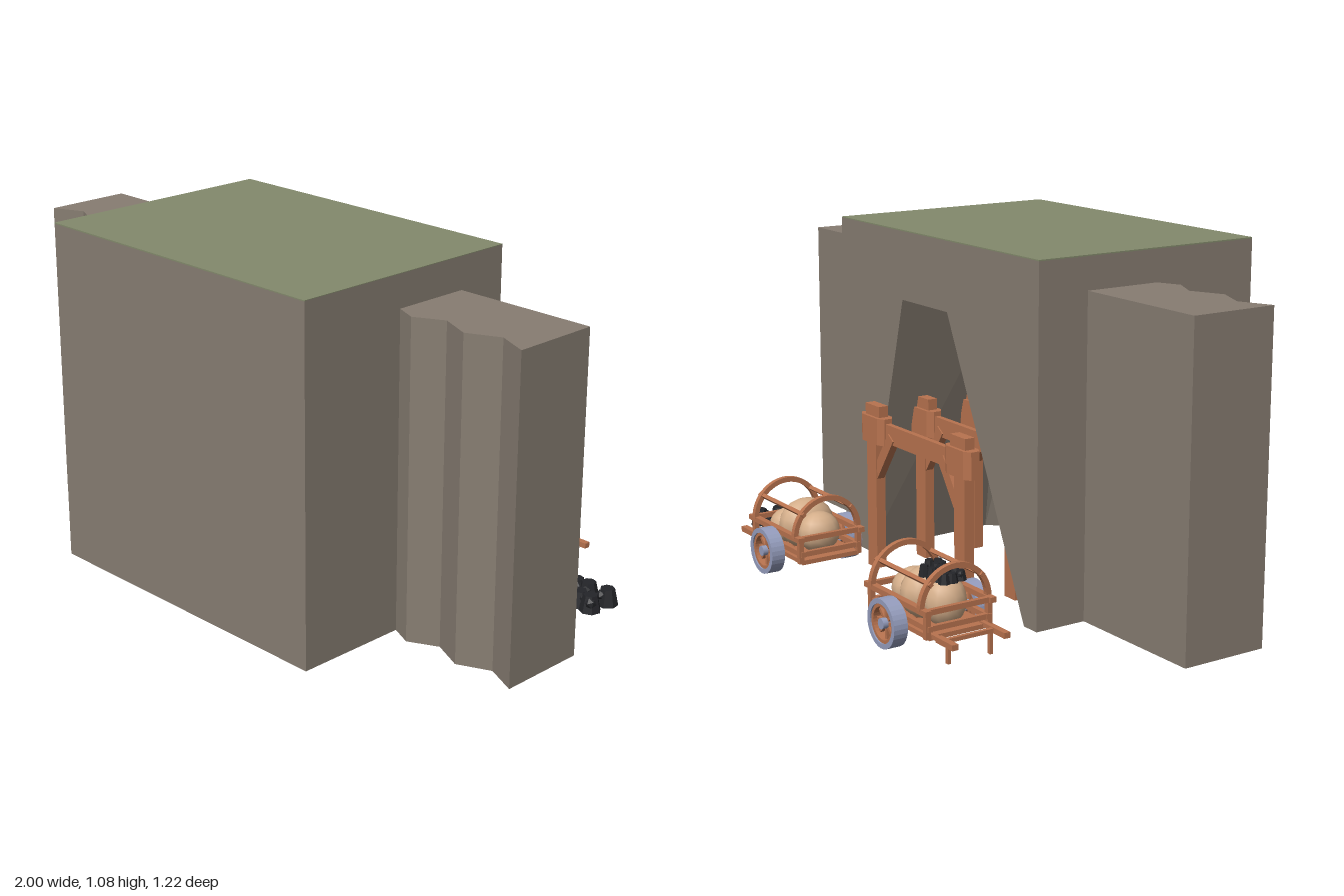
import * as THREE from 'three';

const mat = (name, color, extra = {}) => new THREE.MeshStandardMaterial({ name, color, ...extra });

export function createModel() {
  const root = new THREE.Group();
  const stone = mat('stone', 0x877d72, { side: THREE.DoubleSide, flatShading: true });
  const grass = mat('grass', 0x838a6c);
  const wood = mat('wood', 0xb8734f);
  const metal = mat('wheelMetal', 0x959dbd);
  const sack = mat('sackCloth', 0xd4ae8a);
  const coal = mat('coal', 0x242529, { flatShading: true });

  const add = (parent, name, geo, material, x = 0, y = 0, z = 0) => {
    const m = new THREE.Mesh(geo, material);
    m.name = name;
    m.position.set(x, y, z);
    parent.add(m);
    return m;
  };
  const box = (parent, name, w, h, d, x, y, z, material = wood) =>
    add(parent, name, new THREE.BoxGeometry(w, h, d), material, x, y, z);
  const group = (name, x = 0, y = 0, z = 0) => {
    const g = new THREE.Group();
    g.name = name;
    g.position.set(x, y, z);
    root.add(g);
    return g;
  };
  const shape = (pts) => new THREE.Shape(pts.map(([x, y]) => new THREE.Vector2(x, y)));

  // Main rock with a cave that narrows upward, open at the back and underneath
  const X = 0.54, H = 1.08, ZB = -0.175, ZF = 0.605, CAVE_H = 0.865;
  const caveFloor = [[0.4, ZB], [0.42, 0.3], [0.25, 0.5], [-0.25, 0.53], [-0.5, 0.37], [-0.478, ZB]];
  const caveTop = [[0.175, ZB], [0.17, 0.2], [0.12, 0.32], [-0.02, 0.34], [-0.06, 0.2], [-0.075, ZB]];
  const rock = group('rock');
  add(rock, 'rockFront', new THREE.PlaneGeometry(2 * X, H), stone, 0, H / 2, ZF);
  for (const s of [1, -1]) {
    const side = add(rock, 'rockSide', new THREE.PlaneGeometry(ZF - ZB, H), stone, s * X, H / 2, (ZF + ZB) / 2);
    side.rotation.y = s * Math.PI / 2;
  }
  const back = add(rock, 'rockBack', new THREE.ShapeGeometry(shape([
    [X, 0], [X, H], [-X, H], [-X, 0], [-0.478, 0], [-0.075, CAVE_H], [0.175, CAVE_H], [0.4, 0]
  ].map(([x, y]) => [-x, y]))), stone, 0, 0, ZB);
  back.rotation.y = Math.PI;
  const base = add(rock, 'rockBase', new THREE.ShapeGeometry(
    shape([[X, ZB], [X, ZF], [-X, ZF], [-X, ZB], ...[...caveFloor].reverse()])), stone);
  base.rotation.x = Math.PI / 2;
  const ceiling = add(rock, 'caveCeiling', new THREE.ShapeGeometry(shape(caveTop)), stone, 0, CAVE_H, 0);
  ceiling.rotation.x = Math.PI / 2;
  const walls = [];
  for (let i = 0; i < caveFloor.length - 1; i++) {
    const p = ([x, z], y) => [x, y, z];
    const a = p(caveFloor[i], 0), b = p(caveFloor[i + 1], 0);
    const c = p(caveTop[i + 1], CAVE_H), d = p(caveTop[i], CAVE_H);
    walls.push(...a, ...c, ...b, ...a, ...d, ...c);
  }
  const caveGeo = new THREE.BufferGeometry();
  caveGeo.setAttribute('position', new THREE.Float32BufferAttribute(walls, 3));
  caveGeo.computeVertexNormals();
  add(rock, 'caveWalls', caveGeo, stone);
  box(rock, 'grassTop', 2 * X, 0.004, ZF - ZB, 0, H, (ZF + ZB) / 2, grass);

  // Cliff wings with pleated fronts
  for (const s of [1, -1]) {
    const pts = [[0.53, -0.005], [1, -0.005], [1, 0.275], [0.9, 0.23], [0.8, 0.275],
      [0.7, 0.23], [0.61, 0.275], [0.53, 0.24]];
    const geo = new THREE.ExtrudeGeometry(shape(pts.map(([x, z]) => [s * x, z])), { depth: 0.98, bevelEnabled: false });
    geo.rotateX(Math.PI / 2);
    add(root, 'cliffWing', geo, stone, 0, 0.98, 0);
  }

  // Timber supports, one outside and two inside the cave
  for (const z of [-0.232, -0.05, 0.14]) {
    const frame = group('timberFrame', 0, 0, z);
    box(frame, 'crossBeam', 0.4, 0.06, 0.018, 0, 0.45, 0);
    for (const s of [1, -1]) {
      box(frame, 'post', 0.055, 0.45, 0.033, s * 0.25, 0.225, 0);
      box(frame, 'postTop', 0.08, 0.05, 0.033, s * 0.242, 0.505, 0);
      const collar = new THREE.ExtrudeGeometry(shape([[-0.068, -0.014], [-0.045, -0.027], [0.045, -0.027],
        [0.068, -0.014], [0.068, 0.014], [0.045, 0.027], [-0.045, 0.027], [-0.068, 0.014]]),
      { depth: 0.085, bevelEnabled: false });
      collar.rotateX(-Math.PI / 2);
      add(frame, 'collar', collar, wood, s * 0.242, 0.41, 0);
      const brace = box(frame, 'brace', 0.035, 0.19, 0.026, s * 0.195, 0.365, 0);
      brace.rotation.z = s * 0.6;
    }
  }

  // Hand carts
  const ring = (outer, inner, depth) => {
    const s = new THREE.Shape().absarc(0, 0, outer, 0, Math.PI * 2);
    s.holes.push(new THREE.Path().absarc(0, 0, inner, 0, Math.PI * 2, true));
    return new THREE.ExtrudeGeometry(s, { depth, bevelEnabled: false, curveSegments: 16 }).translate(0, 0, -depth / 2);
  };
  const arch = new THREE.ExtrudeGeometry(
    new THREE.Shape().absarc(0, 0, 0.12, 0, Math.PI).absarc(0, 0, 0.104, Math.PI, 0, true),
    { depth: 0.016, bevelEnabled: false, curveSegments: 12 }).translate(0, 0, -0.008).rotateY(Math.PI / 2);

  const makeCart = (x, z, turn, sacks) => {
    const cart = group('cart', x, 0, z);
    cart.rotation.y = turn;
    box(cart, 'cartFloor', 0.31, 0.014, 0.2, 0, 0.063, 0);
    const axle = add(cart, 'axle', new THREE.CylinderGeometry(0.009, 0.009, 0.31, 8), wood, 0, 0.073, 0);
    axle.rotation.x = Math.PI / 2;
    for (const s of [1, -1]) {
      box(cart, 'lowerRail', 0.32, 0.016, 0.016, 0, 0.09, s * 0.098);
      box(cart, 'upperRail', 0.33, 0.016, 0.02, 0, 0.138, s * 0.108);
      box(cart, 'endLowerRail', 0.014, 0.016, 0.2, s * 0.15, 0.09, 0);
      box(cart, 'endUpperRail', 0.014, 0.016, 0.22, s * 0.15, 0.138, 0);
      for (const e of [1, -1]) box(cart, 'cornerPost', 0.016, 0.08, 0.016, e * 0.148, 0.1, s * 0.103);
      add(cart, 'hoop', arch, wood, s * 0.13, 0.14, 0);
      const rod = box(cart, 'hoopRod', 0.29, 0.012, 0.012, 0, 0.212, s * 0.086);
      rod.rotation.x = s * 0.7;
      // Handles and prop legs
      box(cart, 'handle', 0.13, 0.013, 0.013, 0.2, 0.068, s * 0.086);
      box(cart, 'handleGrip', 0.085, 0.017, 0.02, 0.222, 0.068, s * 0.086);
      box(cart, 'propLeg', 0.012, 0.068, 0.01, 0.205, 0.034, s * 0.07);
      // Wheels
      const wheel = new THREE.Group();
      wheel.name = 'wheel';
      wheel.position.set(0, 0.073, s * 0.14);
      cart.add(wheel);
      add(wheel, 'tyre', ring(0.073, 0.058, 0.045), metal);
      add(wheel, 'woodRim', ring(0.059, 0.048, 0.036), wood);
      const hub = add(wheel, 'hub', new THREE.CylinderGeometry(0.016, 0.016, 0.045, 12), metal);
      hub.rotation.x = Math.PI / 2;
      for (let i = 0; i < 4; i++) {
        const spoke = box(wheel, 'spoke', 0.1, 0.01, 0.012, 0, 0, 0);
        spoke.rotation.z = i * Math.PI / 4;
      }
    }
    box(cart, 'handleBar', 0.012, 0.012, 0.17, 0.205, 0.068, 0);
    for (const [sx, sy, sz, rx, ry, rz] of sacks) {
      add(cart, 'sack', new THREE.SphereGeometry(1, 14, 10), sack, sx, sy, sz).scale.set(rx, ry, rz);
    }
    return cart;
  };
  makeCart(0.385, -0.413, 0, [[0, 0.14, 0, 0.068, 0.08, 0.092], [-0.08, 0.13, 0, 0.06, 0.065, 0.07], [0.07, 0.12, -0.03, 0.055, 0.055, 0.058]]);
  makeCart(-0.4, -0.45, Math.PI, [[0, 0.14, 0, 0.068, 0.08, 0.092], [-0.08, 0.13, 0, 0.058, 0.06, 0.07], [0.08, 0.135, 0, 0.06, 0.075, 0.065]]);

  // Coal lumps: squat rough stubs, on the ground and on one cart
  const lumps = (parent, name, r, h, cols, rows, step, skip) => {
    for (let i = 0; i < cols; i++) for (let j = 0; j < rows; j++) {
      if (skip(i, j)) continue;
      const k = i * 7 + j * 5;
      const stub = add(parent, name, new THREE.CylinderGeometry(r * 0.65, r, h, 7), coal,
        (i - (cols - 1) / 2) * step + Math.sin(k * 2.1) * r * 0.25, h * 0.5,
        (j - (rows - 1) / 2) * step + Math.cos(k * 1.7) * r * 0.25);
      stub.rotation.y = k;
      stub.scale.y = 0.9 + 0.1 * Math.sin(k);
      const chip = add(parent, name, new THREE.IcosahedronGeometry(r * 0.55, 0), coal,
        stub.position.x + r * 0.5 * Math.cos(k), h * 0.6, stub.position.z + r * 0.5 * Math.sin(k));
      chip.rotation.set(k, k * 2, 0);
    }
  };
  lumps(group('coalPile', 0.775, 0, -0.268), 'coalLump', 0.034, 0.054, 4, 3, 0.058, (i, j) => j === 2 && i > 1);
  lumps(group('cartCoal', -0.465, 0.2, -0.455), 'coalLump', 0.018, 0.034, 5, 3, 0.031, (i, j) => j === 0 && i > 3);

  return root;
}
